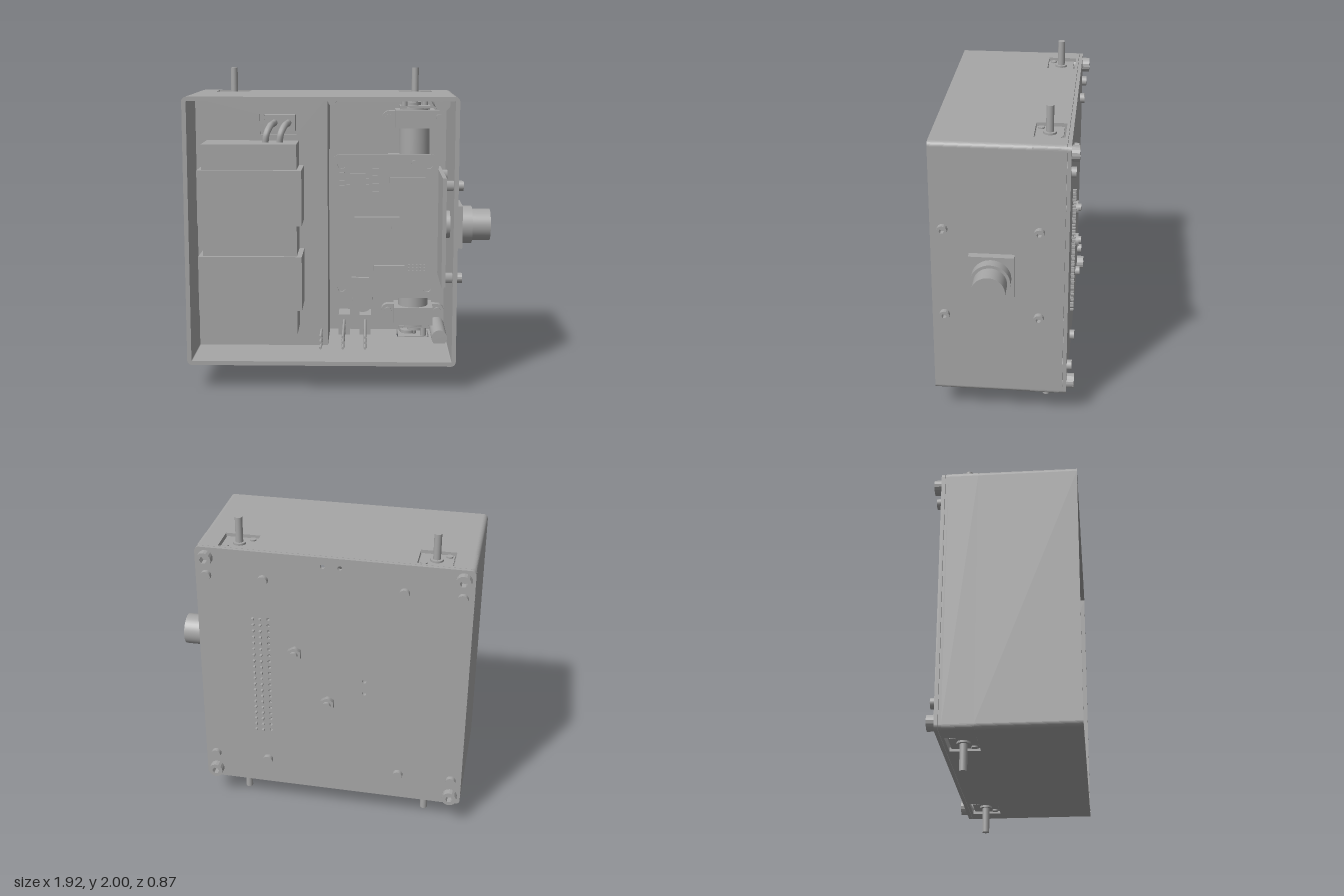
import * as THREE from 'three';

const grey = new THREE.MeshStandardMaterial({ color: 0xa6a6a6 });
grey.name = 'plain grey';

const L = -0.96, R = 0.73, B = 0.16, T = 1.845, WALL = 0.027;

export function createModel() {
  const model = new THREE.Group();
  model.name = 'deviceBox';

  const add = (parent, name, geo, x = 0, y = 0, z = 0) => {
    const m = new THREE.Mesh(geo, grey);
    m.name = name;
    m.position.set(x, y, z);
    parent.add(m);
    return m;
  };
  // Box given by its limits
  const box = (p, name, x0, x1, y0, y1, z0, z1) =>
    add(p, name, new THREE.BoxGeometry(x1 - x0, y1 - y0, z1 - z0), (x0 + x1) / 2, (y0 + y1) / 2, (z0 + z1) / 2);
  // Cylinder along an axis, from a to b; u and v are the two other coordinates
  const rod = (p, name, axis, r, a, b, u, v, sides = 24) => {
    const g = new THREE.CylinderGeometry(r, r, b - a, sides);
    const c = (a + b) / 2;
    if (axis === 'x') return add(p, name, g.rotateZ(-Math.PI / 2), c, u, v);
    if (axis === 'z') return add(p, name, g.rotateX(Math.PI / 2), u, v, c);
    return add(p, name, g, u, c, v);
  };
  const outline = (s, x0, x1, y0, y1, r) => {
    s.moveTo(x0 + r, y0);
    s.lineTo(x1 - r, y0);
    s.absarc(x1 - r, y0 + r, r, -Math.PI / 2, 0);
    s.lineTo(x1, y1 - r);
    s.absarc(x1 - r, y1 - r, r, 0, Math.PI / 2);
    s.lineTo(x0 + r, y1);
    s.absarc(x0 + r, y1 - r, r, Math.PI / 2, Math.PI);
    s.lineTo(x0, y0 + r);
    s.absarc(x0 + r, y0 + r, r, Math.PI, Math.PI * 1.5);
    return s;
  };
  const circleHole = (s, x, y, r) => s.holes.push(new THREE.Path().absarc(x, y, r, 0, Math.PI * 2));
  const slab = (p, name, shape, z0, z1) =>
    add(p, name, new THREE.ExtrudeGeometry(shape, { depth: z1 - z0, bevelEnabled: false, curveSegments: 8 }), 0, 0, z0);

  // Case: full rings in front of and behind the shaft openings
  const ring = outline(new THREE.Shape(), L, R, B, T, 0.03);
  ring.holes.push(outline(new THREE.Path(), L + WALL, R - WALL, B + WALL, T - WALL, 0.006));
  slab(model, 'caseFront', ring, -0.165, 0.435);
  slab(model, 'caseRear', ring, -0.365, -0.348);
  // Case slice with an opening for each gearbox
  const sideWall = (xo, xe, s) => {
    const r = 0.03, w = WALL, sh = new THREE.Shape();
    sh.moveTo(xe, B);
    sh.lineTo(xo + s * r, B);
    sh.quadraticCurveTo(xo, B, xo, B + r);
    sh.lineTo(xo, T - r);
    sh.quadraticCurveTo(xo, T, xo + s * r, T);
    sh.lineTo(xe, T);
    sh.lineTo(xe, T - w);
    sh.lineTo(xo + s * w, T - w);
    sh.lineTo(xo + s * w, B + w);
    sh.lineTo(xe, B + w);
    slab(model, 'caseSide', sh, -0.348, -0.165);
  };
  sideWall(L, -0.825, 1);
  sideWall(R, 0.593, -1);
  box(model, 'caseTopBridge', -0.61, 0.376, T - WALL, T, -0.348, -0.165);
  box(model, 'caseBottomBridge', -0.61, 0.376, B, B + WALL, -0.348, -0.165);

  // Back plate with small holes
  const plate = outline(new THREE.Shape(), L, R, B, T, 0.03);
  for (const [x, y] of [[-0.055, 1.785], [-0.16, 1.785], [-0.32, 1.02], [-0.32, 0.93]]) circleHole(plate, x, y, 0.014);
  for (let i = 0; i < 20; i++) circleHole(plate, 0.285, 0.575 + i * 0.043, 0.01);
  slab(model, 'backPlate', plate, -0.39, -0.367);

  // Header pins through the back plate
  for (let i = 0; i < 20; i++)
    for (const x of [0.335, 0.38]) box(model, 'headerPin', x - 0.007, x + 0.007, 0.569 + i * 0.043, 0.581 + i * 0.043, -0.412, -0.38);

  // Screw head with a recessed socket, along -z
  const socketHead = (p, name, x, y, z0, z1, r) => {
    const s = new THREE.Shape().absarc(x, y, r, 0, Math.PI * 2);
    const h = new THREE.Path();
    for (let i = 0; i < 6; i++) h[i ? 'lineTo' : 'moveTo'](x + r * 0.5 * Math.cos(i * Math.PI / 3), y + r * 0.5 * Math.sin(i * Math.PI / 3));
    h.closePath();
    s.holes.push(h);
    slab(p, name, s, z0, z1);
  };
  for (const y of [0.225, 1.78]) {
    for (const x of [-0.893, 0.663]) {
      socketHead(model, 'cornerScrew', x, y, -0.437, -0.385, 0.047);
      rod(model, 'cornerPost', 'z', 0.052, -0.367, 0.0, x - Math.sign(x) * 0.01, y);
    }
  }
  for (const y of [0.343, 1.662])
    for (const x of [-0.893, -0.55, 0.31, 0.663]) rod(model, 'plateScrew', 'z', 0.032, -0.42, -0.385, x, y);
  for (const [x, y] of [[0.12, 1.175], [-0.088, 0.835]]) {
    rod(model, 'hexNut', 'z', 0.047, -0.42, -0.385, x, y, 6);
    rod(model, 'nutBolt', 'z', 0.024, -0.437, -0.385, x, y);
  }

  // Geared motors: one pair at the top, one pair turned to the bottom
  for (const x of [-0.715, 0.485]) {
    for (const turn of [0, Math.PI]) {
      const g = new THREE.Group();
      g.name = 'gearMotor';
      g.position.set(x, 1, -0.252);
      g.rotation.z = turn;
      model.add(g);
      rod(g, 'shaft', 'y', 0.023, 0.74, 1, 0, 0);
      rod(g, 'shaftCollar', 'y', 0.04, 0.82, 0.838, 0, 0);
      rod(g, 'motorBody', 'y', 0.1, 0.3, 0.74, 0, 0, 32);
      for (const y of [0.735, 0.81]) box(g, 'gearboxPlate', -0.1, 0.1, y, y + 0.016, -0.082, 0.082);
      for (const [px, pz] of [[-0.07, 0.055], [0.07, -0.055]]) {
        rod(g, 'gearboxPillar', 'y', 0.02, 0.74, 0.835, px, pz, 12);
      }
      rod(g, 'gear', 'y', 0.06, 0.755, 0.775, -0.02, 0.01, 14);
      rod(g, 'gear', 'y', 0.05, 0.783, 0.803, 0.035, -0.01, 14);
      box(g, 'bracket', -0.13, 0.13, 0.605, 0.725, -0.115, 0.115);
      for (const s of [-1, 1]) {
        box(g, 'bracketFoot', s > 0 ? 0.12 : -0.17, s > 0 ? 0.17 : -0.12, 0.62, 0.71, -0.115, -0.06);
        rod(g, 'bracketEar', 'z', 0.045, -0.115, -0.06, s * 0.17, 0.665);
        rod(g, 'bracketScrew', 'z', 0.025, -0.06, -0.04, s * 0.17, 0.665, 12);
      }
    }
  }

  // Battery shelf with a cable opening, and its divider
  const shelf = outline(new THREE.Shape(), L + WALL, -0.085, B + WALL, T - WALL, 0.004);
  shelf.holes.push(outline(new THREE.Path(), -0.52, -0.285, 1.58, 1.715, 0.004));
  slab(model, 'batteryShelf', shelf, 0.03, 0.055);
  box(model, 'shelfDivider', -0.11, -0.085, B + WALL, T - WALL, -0.365, 0.03);

  // Battery with two straps and two leads
  box(model, 'battery', -0.863, -0.27, 0.33, 1.545, 0.055, 0.325);
  for (const [a, b] of [[1.035, 1.385], [0.495, 0.84]]) box(model, 'batteryStrap', -0.89, -0.238, a, b, 0.055, 0.355);
  for (const x of [-0.475, -0.385]) {
    const path = new THREE.CatmullRomCurve3([
      [x, 1.53, 0.19], [x + 0.01, 1.6, 0.19], [x + 0.03, 1.645, 0.14], [x + 0.04, 1.65, 0.05], [x + 0.04, 1.65, -0.06],
    ].map((p) => new THREE.Vector3(...p)));
    add(model, 'batteryLead', new THREE.TubeGeometry(path, 20, 0.021, 10));
  }
  box(model, 'cablePlug', -0.5, -0.3, 1.595, 1.7, -0.15, -0.05);
  rod(model, 'cableStub', 'z', 0.025, -0.3, -0.05, -0.06, 1.785, 16);

  // Circuit board with mounting holes
  const board = outline(new THREE.Shape(), -0.055, 0.63, 0.51, 1.455, 0.05);
  for (const x of [0.005, 0.565]) {
    for (const y of [0.575, 1.387]) {
      circleHole(board, x, y, 0.026);
      rod(model, 'boardSpacer', 'z', 0.035, -0.365, 0.03, x, y, 16);
    }
  }
  slab(model, 'circuitBoard', board, 0.03, 0.05);
  box(model, 'lowerBoard', -0.08, 0.155, 0.6, 1.475, -0.1, -0.08);
  box(model, 'headerSocket', 0.31, 0.405, 0.55, 1.42, -0.365, -0.2);
  // Chips: limits in x and y, then height
  for (const [x0, x1, y0, y1, h] of [
    [0.315, 0.545, 1.125, 1.31, 0.03], [0.09, 0.38, 0.765, 1.05, 0.03], [0.135, 0.15, 0.765, 1.05, 0.036],
    [0.33, 0.345, 0.765, 1.05, 0.036], [0.07, 0.185, 0.53, 0.65, 0.03], [0.215, 0.415, 0.53, 0.73, 0.03],
    [0.06, 0.16, 1.23, 1.33, 0.02],
  ]) box(model, 'chip', x0, x1, y0, y1, 0.05, 0.05 + h);
  // Small components around the chips
  for (let i = 0; i < 5; i++) {
    const a = -0.055 + i * 0.0225;
    for (const s of [-1, 1]) {
      box(model, 'chipLeg', 0.102 + a * 0.8, 0.112 + a * 0.8, 1.28 + s * 0.062 - 0.01, 1.28 + s * 0.062 + 0.01, 0.05, 0.058);
      box(model, 'chipLeg', 0.11 + s * 0.062 - 0.01, 0.11 + s * 0.062 + 0.01, 1.278 + a * 0.8, 1.288 + a * 0.8, 0.05, 0.058);
    }
    box(model, 'resistor', -0.01, 0.025, 1.21 + i * 0.028, 1.228 + i * 0.028, 0.05, 0.065);
    for (const y of [0.685, 0.705, 0.725]) box(model, 'boardPin', 0.44 + i * 0.025, 0.45 + i * 0.025, y, y + 0.008, 0.05, 0.065);
  }
  for (const y of [1.2, 1.25, 1.3, 1.35]) box(model, 'capacitorChip', 0.205, 0.245, y - 0.017, y + 0.017, 0.05, 0.07);
  for (const x of [0.08, 0.12, 0.16]) {
    box(model, 'resistor', x, x + 0.022, 1.17, 1.205, 0.05, 0.065);
    box(model, 'resistor', x, x + 0.022, 1.355, 1.39, 0.05, 0.065);
  }
  rod(model, 'indicator', 'z', 0.017, 0.05, 0.07, 0.472, 1.403, 16);

  // Round capacitor and three pin connectors on the back plate
  rod(model, 'capacitor', 'z', 0.07, -0.367, -0.1, 0.142, 0.445, 32);
  for (const x of [-0.127, 0.017, 0.16]) {
    box(model, 'pinConnector', x - 0.038, x + 0.038, 0.19, 0.33, -0.367, -0.2);
    for (const y of [0.22, 0.256, 0.292]) rod(model, 'longPin', 'z', 0.009, -0.22, 0.24, x, y, 8);
  }

  // Side connector
  box(model, 'connectorFlange', R, 0.777, 0.87, 1.142, -0.068, 0.205);
  rod(model, 'connectorCollar', 'x', 0.12, 0.775, 0.843, 1.005, 0.067, 40);
  rod(model, 'connectorBarrel', 'x', 0.101, 0.84, 0.96, 1.005, 0.067, 40);
  rod(model, 'connectorInside', 'x', 0.09, 0.66, 0.705, 1.005, 0.067, 32);
  // Side board held by four screws
  box(model, 'sideBoard', 0.635, 0.66, 0.66, 1.345, -0.26, 0.4);
  for (const y of [0.715, 1.295]) {
    for (const z of [-0.215, 0.36]) {
      rod(model, 'sideSpacer', 'x', 0.035, 0.66, 0.705, y, z, 6);
      const g = new THREE.Group();
      g.name = 'sideScrew';
      g.position.set(R, y, z);
      g.rotation.y = Math.PI / 2;
      model.add(g);
      socketHead(g, 'screwHead', 0, 0, 0, 0.034, 0.032);
    }
  }
  return model;
}
